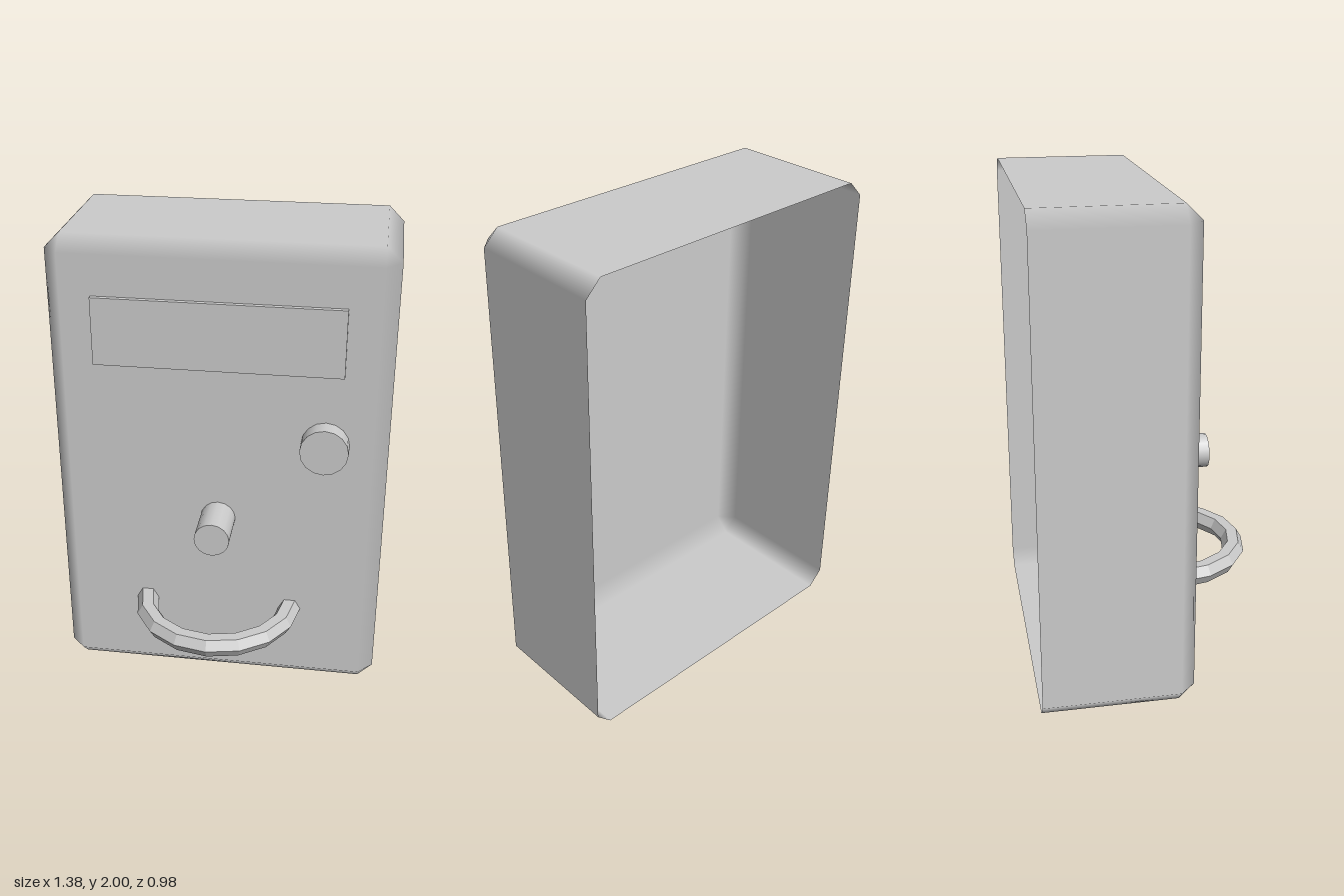
import * as THREE from 'three';

const HALF_W = 0.69, HEIGHT = 2, BEVEL = 0.063, BACK = -0.49, FRONT = 0.13;

// Open-backed shell with bevelled edges; the bevels blend between the flat faces' normals
function caseGeometry() {
  const pos = [], nor = [], idx = [];
  const quad = (a, b, c, d) => idx.push(a, b, c, a, c, d);
  const corners = [[1, 1], [-1, 1], [-1, -1], [1, -1]];
  corners.forEach(([sx, sy], i) => {
    const xOut = sx * HALF_W, xIn = sx * (HALF_W - BEVEL);
    const yOut = HEIGHT / 2 * (1 + sy), yIn = yOut - sy * BEVEL;
    const side = { x: xOut, y: yIn, n: [sx, 0, 0] };
    const cap = { x: xIn, y: yOut, n: [0, sy, 0] };
    // each corner: two rim points (back and front), then the front face corner
    for (const p of i % 2 ? [cap, side] : [side, cap]) {
      pos.push(p.x, p.y, BACK, p.x, p.y, FRONT - BEVEL);
      nor.push(...p.n, ...p.n);
    }
    pos.push(xIn, yIn, FRONT);
    nor.push(0, 0, 1);

    const a = i * 5, b = ((i + 1) % 4) * 5;
    quad(a, a + 2, a + 3, a + 1);         // corner bevel along the depth
    idx.push(a + 1, a + 3, a + 4);        // corner triangle
    quad(a + 2, b, b + 1, a + 3);         // wall
    quad(a + 3, b + 1, b + 4, a + 4);     // front edge bevel
  });
  quad(4, 9, 14, 19);                     // front face
  const g = new THREE.BufferGeometry();
  g.setAttribute('position', new THREE.Float32BufferAttribute(pos, 3));
  g.setAttribute('normal', new THREE.Float32BufferAttribute(nor, 3));
  g.setIndex(idx);
  return g;
}

export function createModel() {
  const group = new THREE.Group();
  const grey = new THREE.MeshStandardMaterial({ color: 0xcccccc, side: THREE.DoubleSide });
  grey.name = 'light grey';
  const faceted = grey.clone();
  faceted.flatShading = true;
  faceted.name = 'light grey faceted';

  const add = (name, geometry, x, y, z, material = grey) => {
    const mesh = new THREE.Mesh(geometry, material);
    mesh.name = name;
    mesh.position.set(x, y, z);
    group.add(mesh);
    return mesh;
  };
  // Cylinder standing out from the front face
  const addKnob = (name, radius, length, x, y) => {
    const g = new THREE.CylinderGeometry(radius, radius, length, 16);
    g.rotateX(Math.PI / 2);
    add(name, g, x, y, FRONT + length / 2);
  };

  add('case', caseGeometry(), 0, 0, 0);
  add('displayPanel', new THREE.BoxGeometry(1, 0.28, 0.02), 0, 1.63, FRONT + 0.01);
  addKnob('button', 0.098, 0.075, 0.435, 1.19);
  addKnob('spindle', 0.073, 0.187, 0, 0.815);

  // Half-ring handle with a hexagonal section, lying level
  const ring = new THREE.TorusGeometry(0.313, 0.047, 6, 8, Math.PI);
  ring.rotateX(Math.PI / 2);
  add('handle', ring, 0, 0.38, FRONT, faceted);

  return group;
}
